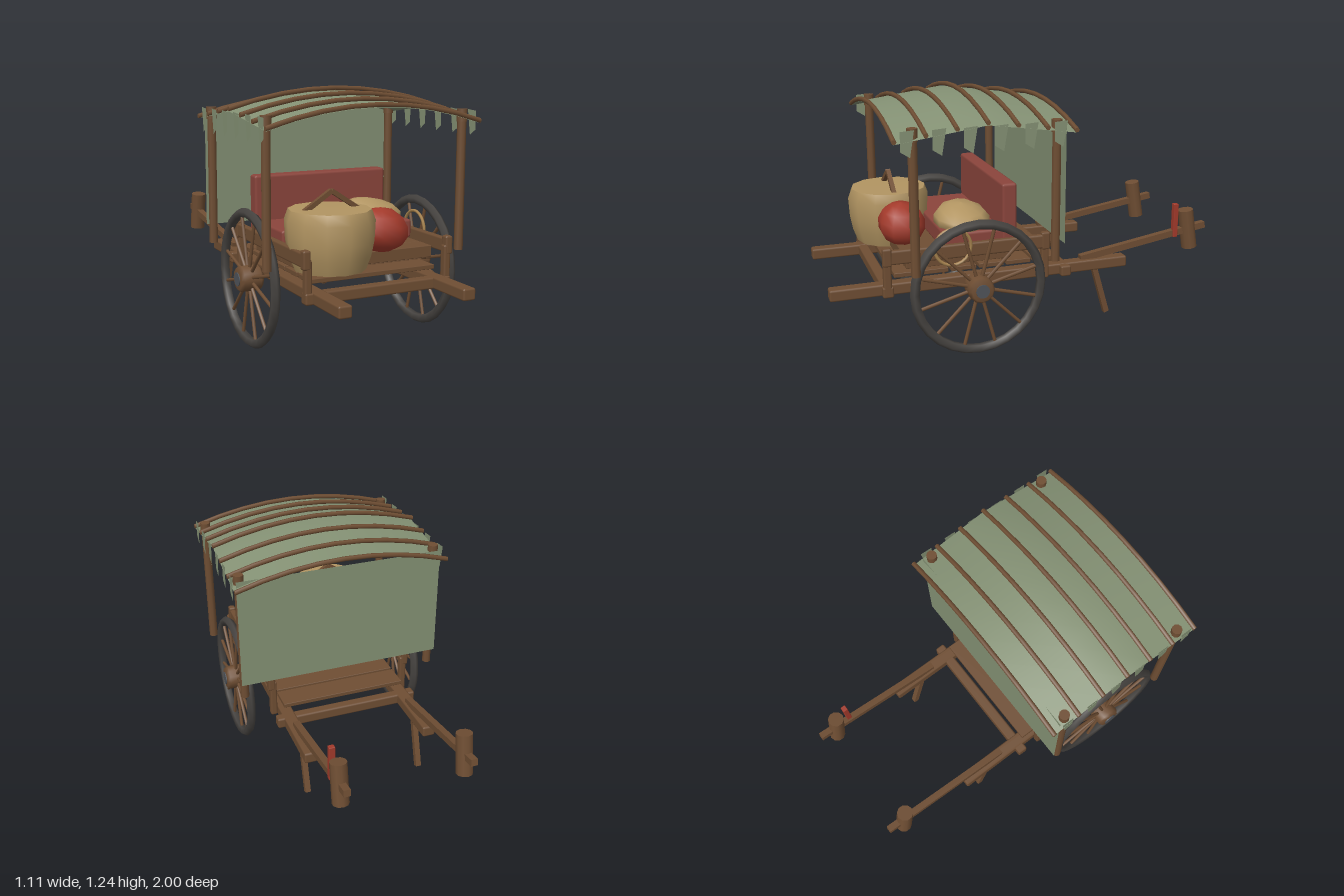
import * as THREE from 'three';
import { RoundedBoxGeometry } from 'three/addons/geometries/RoundedBoxGeometry.js';

const mat = (name, color, extra = {}) => {
  const m = new THREE.MeshStandardMaterial({ color, ...extra });
  m.name = name;
  return m;
};

export function createModel() {
  const wood = mat('wood', 0x6f4e33);
  const canvas = mat('canvas', 0x849174, { side: THREE.DoubleSide });
  const cushion = mat('cushion', 0x8b453c);
  const red = mat('red cloth', 0xa33a2b);
  const straw = mat('straw', 0xb29562);
  const rope = mat('rope', 0xa8844f);
  const iron = mat('iron', 0x474441);
  const cap = mat('hub cap', 0x50545a);

  const cart = new THREE.Group();
  cart.name = 'cart';
  const add = (name, geo, material, x = 0, y = 0, z = 0, parent = cart) => {
    const m = new THREE.Mesh(geo, material);
    m.name = name;
    m.position.set(x, y, z);
    parent.add(m);
    return m;
  };
  const box = (name, w, h, d, x, y, z, material = wood, bevel = 0.01) =>
    add(name, new RoundedBoxGeometry(w, h, d, 1, bevel), material, x, y, z);
  // Square or round bar joining two points
  const bar = (name, a, b, t, sides = 0, parent = cart) => {
    const p = new THREE.Vector3(...a), q = new THREE.Vector3(...b), len = p.distanceTo(q);
    const geo = sides ? new THREE.CylinderGeometry(t / 2, t / 2, len, sides) : new THREE.BoxGeometry(t, len, t);
    const c = p.clone().lerp(q, 0.5);
    const m = add(name, geo, wood, c.x, c.y, c.z, parent);
    m.quaternion.setFromUnitVectors(new THREE.Vector3(0, 1, 0), q.sub(p).normalize());
    return m;
  };
  const lathe = (profile, sides) => new THREE.LatheGeometry(profile.map(p => new THREE.Vector2(...p)), sides);

  // Frame, handles, legs and side rails
  for (const s of [-1, 1]) {
    box('sideBeam', 0.067, 0.058, 1.53, s * 0.315, 0.335, 0.235);
    bar('handle', [s * 0.31, 0.368, -0.28], [s * 0.31, 0.48, -0.997], 0.034);
    bar('handleGrip', [s * 0.31, 0.362, -0.917], [s * 0.31, 0.57, -0.883], 0.082, 10);
    bar('propLeg', [s * 0.308, 0.33, -0.355], [s * 0.308, 0.055, -0.436], 0.028);
    box('sideRail', 0.034, 0.07, 0.83, s * 0.372, 0.505, 0.333);
    for (const z of [-0.063, 0.73]) {
      box('railPost', 0.036, 0.2, 0.04, s * 0.365, 0.41, z);
      box('railEnd', 0.038, 0.09, 0.044, s * 0.373, 0.508, z);
    }
  }
  for (const z of [-0.178, 0.728]) box('crossBeam', 0.765, 0.056, 0.054, 0, 0.333, z);
  for (let i = 0; i < 6; i++) box('floorPlank', 0.66, 0.022, 0.127, 0, 0.396, -0.081 + i * 0.1415, wood, 0.003);
  for (let i = 0; i < 5; i++) box('deckPlank', 0.7, 0.058, 0.104, 0, 0.459, 0.163 + i * 0.105, wood, 0.004);

  // Seat
  box('seatCushion', 0.71, 0.095, 0.31, 0, 0.537, 0.29, cushion, 0.014);
  box('seatBack', 0.735, 0.32, 0.075, -0.002, 0.65, 0.118, cushion, 0.014);

  // Wheels
  for (const s of [-1, 1]) {
    const wheel = new THREE.Group();
    wheel.name = 'wheel';
    wheel.position.set(s * 0.472, 0.342, 0.31);
    wheel.rotation.y = s * Math.PI / 2;
    cart.add(wheel);
    add('tyre', new THREE.TorusGeometry(0.314, 0.024, 5, 28), iron, 0, 0, 0, wheel);
    for (let i = 0; i < 12; i++) {
      const a = (i + 0.5) * Math.PI / 6, c = Math.cos(a), n = Math.sin(a);
      bar('spoke', [c * 0.05, n * 0.05, 0], [c * 0.305, n * 0.305, 0], 0.018, 6, wheel);
    }
    const hub = lathe([[0, -0.057], [0.052, -0.057], [0.064, -0.042], [0.064, 0.042], [0.052, 0.057], [0, 0.057]], 12);
    hub.rotateX(Math.PI / 2);
    add('hub', hub, wood, 0, 0, 0, wheel);
    const disc = new THREE.CylinderGeometry(0.034, 0.034, 0.008, 12);
    disc.rotateX(Math.PI / 2);
    add('hubCap', disc, cap, 0, 0, 0.058, wheel);
  }

  // Arched roof: highest on the middle rib, falling to front and back
  const midZ = 0.285, halfZ = 0.43, halfX = 0.552;
  const roofY = (x, z) => 1.09 + 0.06 * (1 - Math.abs(z - midZ) / halfZ) + 0.088 * (1 - (x / halfX) ** 2);
  const roof = new THREE.PlaneGeometry(1.1, halfZ * 2, 8, 6);
  roof.rotateX(-Math.PI / 2);
  const rp = roof.attributes.position;
  for (let i = 0; i < rp.count; i++) {
    const z = rp.getZ(i) + midZ;
    rp.setXYZ(i, rp.getX(i), roofY(rp.getX(i), z) - 0.013, z);
  }
  roof.computeVertexNormals();
  add('roofCanvas', roof, canvas);
  for (let i = 0; i < 7; i++) {
    const z = midZ - halfZ + i * halfZ / 3, path = new THREE.CurvePath();
    const pts = Array.from({ length: 9 }, (_, k) => {
      const x = (k / 4 - 1) * halfX;
      return new THREE.Vector3(x, roofY(x, z), z);
    });
    for (let k = 0; k < 8; k++) path.add(new THREE.LineCurve3(pts[k], pts[k + 1]));
    add('roofRib', new THREE.TubeGeometry(path, 32, 0.012, 6), wood);
    for (const k of [0, 8]) {
      const end = add('ribEnd', new THREE.CylinderGeometry(0.012, 0.012, 0.004, 6), wood, pts[k].x, pts[k].y, z);
      end.rotation.z = Math.PI / 2;
    }
  }

  // Hanging strips along both eaves
  const strip = new THREE.Shape([[0, 0.01], [0.064, 0.015], [0.043, -0.108], [0, -0.08]]
    .map(p => new THREE.Vector2(...p)));
  const stripGeo = new THREE.ShapeGeometry(strip);
  stripGeo.rotateY(Math.PI / 2);
  for (const s of [-1, 1]) for (let i = 0; i < 6; i++)
    add('eaveStrip', stripGeo, canvas, s * 0.549, 1.123, 0.687 - i * 0.1445);

  // Roof posts and back curtain
  for (const x of [-0.513, 0.513]) for (const z of [-0.06, 0.625]) {
    bar('roofPost', [x, 0.45, z], [x, 1.12, z], 0.045, 8);
    bar('postCap', [x, 1.08, z], [x, 1.14, z], 0.052, 10);
  }
  add('backCurtain', new THREE.PlaneGeometry(1.07, 0.582), canvas, 0, 0.829, -0.1);

  // Basket and its lid with a peaked handle
  add('basket', lathe([[0, 0.425], [0.17, 0.425], [0.17, 0.425], [0.193, 0.49], [0.206, 0.56], [0.211, 0.655], [0.193, 0.705]], 12),
    straw, -0.188, 0, 0.601);
  add('basketLid', lathe([[0.193, 0.705], [0, 0.708]], 12), straw, -0.188, 0, 0.601);
  for (const x of [-0.32, -0.04]) bar('basketHandle', [x, 0.695, 0.6], [-0.18, 0.786, 0.6], 0.022);

  // Bundles: spheres squeezed toward the top or one end
  const bundle = (name, material, r, pos, rule) => {
    const g = new THREE.SphereGeometry(1, 10, 7), p = g.attributes.position;
    for (let i = 0; i < p.count; i++) {
      const v = rule(p.getX(i), p.getY(i), p.getZ(i));
      p.setXYZ(i, v[0] * r[0], v[1] * r[1], v[2] * r[2]);
    }
    g.computeVertexNormals();
    add(name, g, material, ...pos);
  };
  bundle('redBundle', red, [0.142, 0.108, 0.118], [0.085, 0.58, 0.593], (x, y, z) => [x, y - 0.12 * x * (1 - y * y), z]);
  bundle('strawSack', straw, [0.178, 0.085, 0.14], [0.182, 0.602, 0.31], (x, y, z) => [x, y * (1 - 0.25 * x), z]);

  // Rope coil on one rail and a red marker on one handle
  const coil = add('ropeCoil', new THREE.TorusGeometry(0.09, 0.008, 6, 24), rope, 0.391, 0.53, 0.415);
  coil.rotation.y = Math.PI / 2;
  box('handleMarker', 0.03, 0.18, 0.026, 0.318, 0.52, -0.818, red, 0.003);

  return cart;
}
